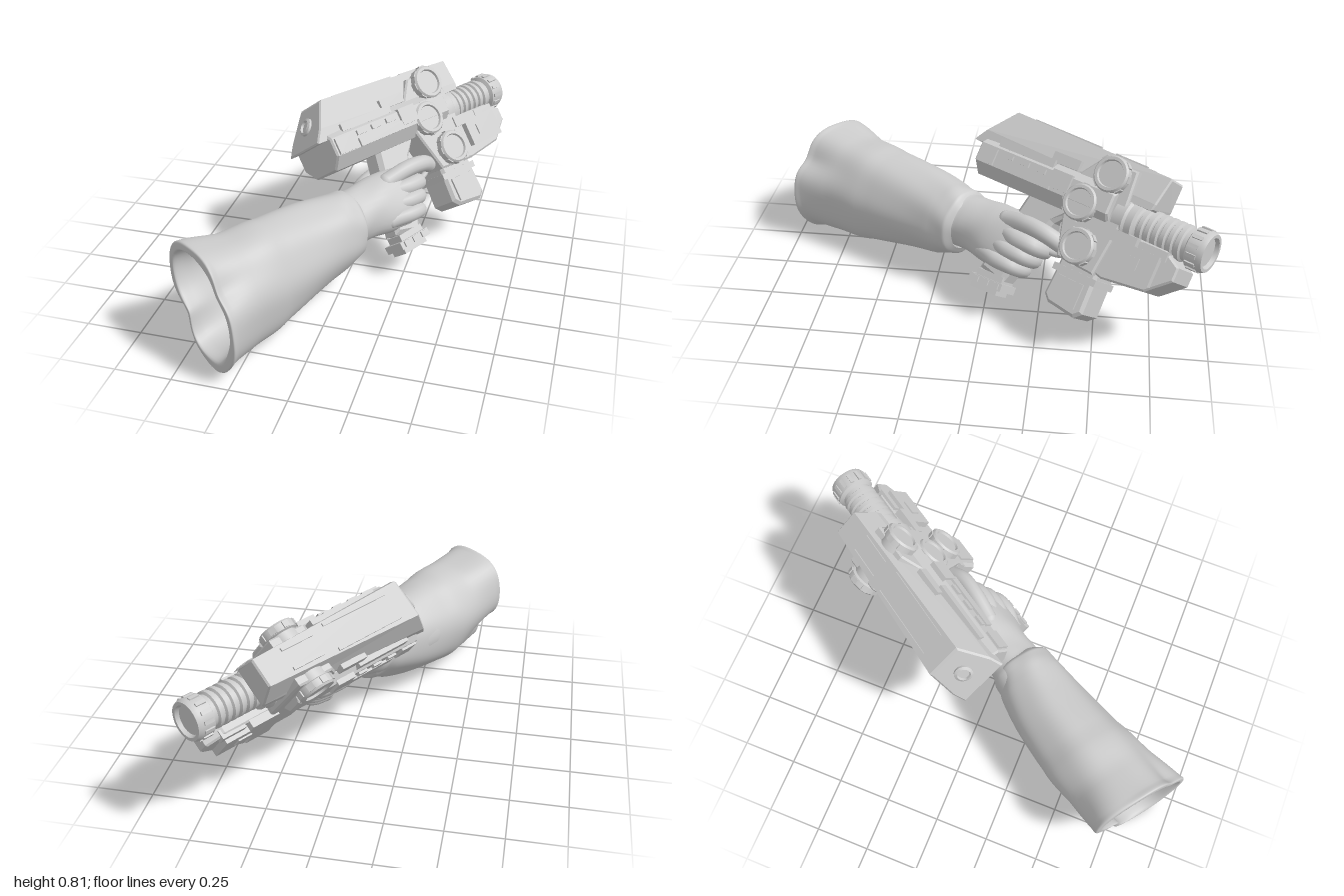
import * as THREE from 'three';
import { toCreasedNormals } from 'three/addons/utils/BufferGeometryUtils.js';

const mat = new THREE.MeshStandardMaterial({ color: 0xcccccc, side: THREE.DoubleSide });

function add(parent, name, geometry) {
  const m = new THREE.Mesh(geometry, mat);
  m.name = name;
  parent.add(m);
  return m;
}

// Gun space: a = forward, b = right, h = up
const P = (a, b, h) => new THREE.Vector3(b, h, -a);

// Closed outline extruded from z = 0 to depth, with a small bevel
function bevelled(pts, depth, e) {
  const shape = new THREE.Shape(pts.map(p => new THREE.Vector2(p[0], p[1])));
  return new THREE.ExtrudeGeometry(shape, {
    depth: depth - 2 * e, bevelEnabled: true, bevelSize: e, bevelThickness: e, bevelOffset: -e, bevelSegments: 1 }).translate(0, 0, e);
}
// Side profile (a, h) extruded across the width
function sideExtrude(pts, half, bevel = 0.008) {
  return bevelled(pts, 2 * half, bevel).translate(0, 0, -half).rotateY(Math.PI / 2);
}
// Symmetric cross-section, given by its right half (b, h), extruded along the gun
function crossExtrude(half, a0, a1) {
  return bevelled([...half, ...half.map(([b, h]) => [-b, h]).reverse()], a1 - a0, 0.008).translate(0, 0, -a1);
}
function box(parent, name, a, b, h, la, lb, lh, tilt = 0) {
  const m = add(parent, name, new THREE.BoxGeometry(lb, lh, la));
  m.position.copy(P(a, b, h));
  m.rotation.x = tilt;
  return m;
}
function lathe(pts, n = 32) {
  return toCreasedNormals(new THREE.LatheGeometry(pts.map(p => new THREE.Vector2(p[0], p[1])), n), 0.6);
}

// Smooth skin through rings; each ring is { c, rl, ru, w }, modified by warp(angle, ring index, w)
function loft(rings, lateral, up, warp, n = 48, sub = 6) {
  const centre = new THREE.CatmullRomCurve3(rings.map(r => r.c));
  const size = new THREE.CatmullRomCurve3(rings.map(r => new THREE.Vector3(r.rl, r.ru, r.w || 0)));
  const rows = (rings.length - 1) * sub, pos = [], idx = [];
  for (let i = 0; i <= rows; i++) {
    const c = centre.getPoint(i / rows), s = size.getPoint(i / rows);
    for (let j = 0; j < n; j++) {
      const t = j / n * Math.PI * 2, k = warp(t, i / sub, s.z);
      const v = c.clone().addScaledVector(lateral, Math.cos(t) * s.x * k).addScaledVector(up, Math.sin(t) * s.y * k);
      pos.push(v.x, v.y, v.z);
      if (i < rows) {
        const p = i * n + j, q = i * n + (j + 1) % n;
        idx.push(p, q, q + n, p, q + n, p + n);
      }
    }
  }
  const g = new THREE.BufferGeometry();
  g.setAttribute('position', new THREE.Float32BufferAttribute(pos, 3));
  g.setIndex(idx);
  g.computeVertexNormals();
  return g;
}

function finger(parent, name, pts, r) {
  const grp = new THREE.Group();
  grp.name = name;
  const curve = new THREE.CatmullRomCurve3(pts.map(p => P(...p)));
  add(grp, name + 'Skin', new THREE.TubeGeometry(curve, 32, r, 14));
  for (const t of [0, 1]) add(grp, name + 'End', new THREE.SphereGeometry(r, 14, 10)).position.copy(curve.getPoint(t));
  parent.add(grp);
}

function dial(parent, a, h, side) {
  const g = new THREE.Group();
  g.name = 'dial';
  add(g, 'dialRim', lathe([[0.068, -0.07], [0.068, -0.03], [0.08, -0.025], [0.08, 0.005], [0.073, 0.014], [0.06, 0.014], [0.056, 0.004], [0, 0.004]]));
  for (let i = 0; i < 8; i++) {
    const t = i / 8 * Math.PI * 2;
    const lug = add(g, 'dialLug', new THREE.BoxGeometry(0.01, 0.028, 0.03));
    lug.position.set(Math.cos(t) * 0.079, -0.009, -Math.sin(t) * 0.079);
    lug.rotation.y = t;
  }
  g.position.copy(P(a, side * 0.143, h));
  g.rotation.z = -side * Math.PI / 2;
  parent.add(g);
}

function buildGun(gun) {
  // Upper shroud: slanted rear face, tapering to the front
  const shroud = crossExtrude([[0.128, 0.05], [0.128, 0.11], [0.09, 0.235]], -0.54, 0.41);
  const p = shroud.attributes.position;
  for (let i = 0; i < p.count; i++) {
    const a = -p.getZ(i), h = p.getY(i), t = (a + 0.54) / 0.95;
    p.setXYZ(i, p.getX(i) * (1 - 0.3 * t), h - 0.03 * t * (h > 0.1 ? 1 : 0), -(a + (1 - t) * 0.75 * (h - 0.05) - t * 0.1 * (0.2 - h)));
  }
  shroud.computeVertexNormals();
  add(gun, 'shroud', shroud);
  // Round boss on the slanted rear face
  const boss = add(gun, 'rearBoss', lathe([[0.042, -0.02], [0.042, 0.006], [0.03, 0.012], [0.026, 0.002], [0, 0.002]], 20));
  boss.position.copy(P(-0.47, 0, 0.15));
  boss.rotation.x = Math.PI / 2 - 0.64;
  for (const s of [-1, 1]) {
    box(gun, 'shroudRail', -0.13, s * 0.06, 0.224, 0.36, 0.014, 0.014, -0.03);
    box(gun, 'shroudRail', 0.2, s * 0.045, 0.213, 0.16, 0.014, 0.014, -0.03);
  }

  // Main receiver
  add(gun, 'receiver', crossExtrude([[0.085, -0.09], [0.148, -0.035], [0.148, 0.05], [0.11, 0.085]], -0.48, 0.24));
  add(gun, 'dialMount', sideExtrude([[0.02, -0.08], [0.08, -0.28], [0.27, -0.29], [0.3, -0.05], [0.28, 0.18], [0.1, 0.18], [0.02, 0.08]], 0.112));
  for (const s of [-1, 1]) {
    box(gun, 'rearPanel', -0.42, s * 0.148, 0.005, 0.09, 0.022, 0.075);
    box(gun, 'longPanel', -0.2, s * 0.148, -0.015, 0.28, 0.022, 0.04);
    box(gun, 'upperPanel', -0.24, s * 0.124, 0.078, 0.3, 0.03, 0.036);
    box(gun, 'middlePanel', -0.02, s * 0.148, 0.02, 0.1, 0.026, 0.08);
    box(gun, 'shroudPanel', -0.05, s * 0.112, 0.11, 0.14, 0.024, 0.046);
    for (let i = 0; i < 3; i++) box(gun, 'panelRib', -0.31 + i * 0.09, s * 0.152, 0.03, 0.05, 0.014, 0.022);
  }

  // Ribbed barrel with a notched muzzle
  const prof = [[0.07, 0.2]];
  for (let i = 0; i < 9; i++) {
    const y = 0.25 + i * 0.036;
    prof.push([0.07, y], [0.08, y + 0.006], [0.08, y + 0.024], [0.07, y + 0.03]);
  }
  prof.push([0.07, 0.585], [0.087, 0.595], [0.089, 0.655], [0.082, 0.672], [0.068, 0.672], [0.062, 0.655], [0, 0.655]);
  const barrel = add(gun, 'barrel', lathe(prof));
  const collar = add(gun, 'barrelCollar', lathe([[0.07, 0.24], [0.105, 0.25], [0.105, 0.3], [0.095, 0.31], [0.095, 0.34], [0.07, 0.35]]));
  for (const part of [barrel, collar]) {
    part.rotation.x = -Math.PI / 2;
    part.position.set(0.015, -0.016, 0);
  }
  for (let i = 0; i < 14; i++) {
    const t = i / 14 * Math.PI * 2;
    box(gun, 'muzzleLug', 0.625, 0.015 + Math.cos(t) * 0.087, -0.016 + Math.sin(t) * 0.087, 0.045, 0.014, 0.016).rotation.z = t;
  }

  // Lower front body
  add(gun, 'frontBody', sideExtrude([[0.14, -0.07], [0.52, -0.075], [0.6, -0.12], [0.6, -0.18], [0.5, -0.265], [0.3, -0.29], [0.14, -0.25]], 0.09));
  for (const s of [-1, 1]) {
    box(gun, 'frontSidePlate', 0.42, s * 0.095, -0.175, 0.2, 0.05, 0.13);
    box(gun, 'frontStep', 0.33, s * 0.095, -0.1, 0.14, 0.05, 0.05);
    box(gun, 'frontStep', 0.48, s * 0.082, -0.1, 0.12, 0.04, 0.04);
    box(gun, 'frontInset', 0.41, s * 0.12, -0.175, 0.07, 0.014, 0.05);
  }

  // Block in front of the trigger
  add(gun, 'lowerBlock', sideExtrude([[0.09, -0.26], [0.28, -0.26], [0.285, -0.46], [0.25, -0.49], [0.11, -0.475], [0.08, -0.445]], 0.085, 0.014));
  for (const s of [-1, 1]) box(gun, 'blockPlate', 0.18, s * 0.085, -0.4, 0.13, 0.02, 0.11);
  box(gun, 'blockBand', 0.182, 0, -0.32, 0.215, 0.182, 0.03);

  // Dials
  dial(gun, 0.185, 0.128, 1);
  dial(gun, 0.1, -0.031, 1);
  dial(gun, 0.169, -0.204, 1);
  dial(gun, 0.185, 0.128, -1);

  // Trigger, guard, grip and stepped butt
  const guard = new THREE.CatmullRomCurve3([P(-0.1, 0, -0.25), P(-0.03, 0, -0.28), P(0.05, 0, -0.27), P(0.1, 0, -0.22)]);
  add(gun, 'triggerGuard', new THREE.TubeGeometry(guard, 20, 0.014, 8));
  box(gun, 'trigger', 0.0, 0, -0.16, 0.025, 0.03, 0.12, 0.25);
  add(gun, 'grip', sideExtrude([[-0.2, -0.07], [0.05, -0.07], [-0.03, -0.16], [-0.15, -0.5], [-0.29, -0.47]], 0.06, 0.02));
  const steps = [[0, 0.14, 0.1, 0.035], [0.03, 0.18, 0.125, 0.036], [0.058, 0.14, 0.095, 0.026]];
  for (const [d, la, lb, lh] of steps) box(gun, 'gripButt', -0.215 - d * 0.1, 0.01, -0.49 - d, la, lb, lh, 0.06);
  for (const s of [-1, 1]) for (let i = 0; i < 3; i++) {
    box(gun, 'buttRidge', -0.27 + i * 0.055, 0.01 + s * 0.063, -0.522 + i * 0.003, 0.035, 0.014, 0.026, 0.06);
  }
}

// Gloved right hand wrapped round the grip
function buildHand(gun) {
  const ring = (a, b, h, rl, ru) => ({ c: P(a, b, h), rl, ru });
  add(gun, 'glove', loft([
    ring(-0.07, 0.07, -0.29, 0.001, 0.001), ring(-0.1, 0.066, -0.3, 0.035, 0.1), ring(-0.19, 0.05, -0.31, 0.068, 0.14),
    ring(-0.3, 0.025, -0.31, 0.098, 0.14), ring(-0.39, 0.01, -0.305, 0.112, 0.128), ring(-0.46, 0.005, -0.305, 0.12, 0.128),
    ring(-0.5, 0, -0.305, 0.132, 0.135), ring(-0.62, -0.01, -0.3, 0.12, 0.12)],
  new THREE.Vector3(1, 0, 0), new THREE.Vector3(0, 1, 0), (t, i) => 1 + 0.02 * Math.sin(5 * t + 2 * i), 32));
  finger(gun, 'indexFinger', [[-0.24, 0.075, -0.225], [-0.11, 0.1, -0.21], [-0.02, 0.095, -0.215], [0.05, 0.055, -0.23]], 0.039);
  for (let i = 0; i < 3; i++) {
    const d = -0.04 - 0.03 * i, h = -0.287 - 0.06 * i, r = 0.041 - 0.002 * i;
    finger(gun, ['middleFinger', 'ringFinger', 'littleFinger'][i],
      [[-0.2 + d, 0.065, h + 0.01], [-0.1 + d, 0.09, h], [-0.03 + d, 0.075, h], [-0.01 + d, 0.02, h], [-0.04 + d, -0.06, h], [-0.12 + d, -0.08, h + 0.01]], r);
  }
  finger(gun, 'thumb', [[-0.36, -0.03, -0.25], [-0.25, -0.08, -0.2], [-0.15, -0.095, -0.18], [-0.06, -0.085, -0.185]], 0.045);
}

// Wide sleeve, open at the elbow end with a thick wavy rim
function buildSleeve(root) {
  const ring = (x, y, z, rl, ru, w) => ({ c: new THREE.Vector3(x, y, z), rl, ru, w });
  const rings = [
    ring(0.025, 0.305, 0.1, 0.11, 0.12, 0), ring(0.01, 0.302, 0.12, 0.14, 0.155, 0), ring(-0.012, 0.3, 0.155, 0.148, 0.165, 0),
    ring(-0.048, 0.292, 0.2, 0.163, 0.178, 0), ring(-0.128, 0.282, 0.312, 0.184, 0.198, 0), ring(-0.242, 0.268, 0.512, 0.206, 0.23, 0),
    ring(-0.33, 0.262, 0.688, 0.218, 0.246, 0.25), ring(-0.393, 0.268, 0.82, 0.238, 0.252, 0.9), ring(-0.405, 0.268, 0.855, 0.24, 0.255, 1),
    ring(-0.405, 0.27, 0.858, 0.212, 0.227, 1), ring(-0.385, 0.27, 0.8, 0.195, 0.215, 0.95), ring(-0.3, 0.27, 0.6, 0.18, 0.205, 0.3),
    ring(-0.15, 0.28, 0.3, 0.15, 0.16, 0), ring(-0.08, 0.29, 0.2, 0.001, 0.001, 0)];
  const bump = (t, deg, wide) => {
    const d = Math.atan2(Math.sin(t - deg * Math.PI / 180), Math.cos(t - deg * Math.PI / 180)) * 180 / Math.PI / wide;
    return Math.exp(-d * d);
  };
  const warp = (t, i, w) => 1 + 0.05 * bump(t, 312, 38) - 0.07 * bump(t, 218, 34)
    + w * (0.17 * bump(t, 132, 32) + 0.04 * bump(t, 300, 30) - 0.3 * bump(t, 212, 30) - 0.17 * bump(t, 42, 18))
    + 0.018 * Math.sin(3 * t + 1.4 * i) * Math.sin(0.9 * i) + 0.011 * Math.sin(7 * t - 1.1 * i);
  add(root, 'sleeve', loft(rings, new THREE.Vector3(0.8, 0, 0.6), new THREE.Vector3(0, 1, 0), warp, 72));
}

export function createModel() {
  const root = new THREE.Group();
  root.name = 'gauntletAndPistol';
  // The pistol points away and is rolled in the hand
  const yaw = 0.577, roll = 0.663;
  const back = new THREE.Vector3(-Math.sin(yaw), 0, Math.cos(yaw));
  const right = new THREE.Vector3(Math.cos(yaw) * Math.cos(roll), Math.sin(roll), Math.sin(yaw) * Math.cos(roll));
  const gun = new THREE.Group();
  gun.name = 'pistolAndHand';
  gun.quaternion.setFromRotationMatrix(new THREE.Matrix4().makeBasis(right, back.clone().cross(right), back));
  gun.position.set(0.1, 0.55, -0.4);
  buildGun(gun);
  buildHand(gun);
  root.add(gun);
  buildSleeve(root);
  return root;
}
